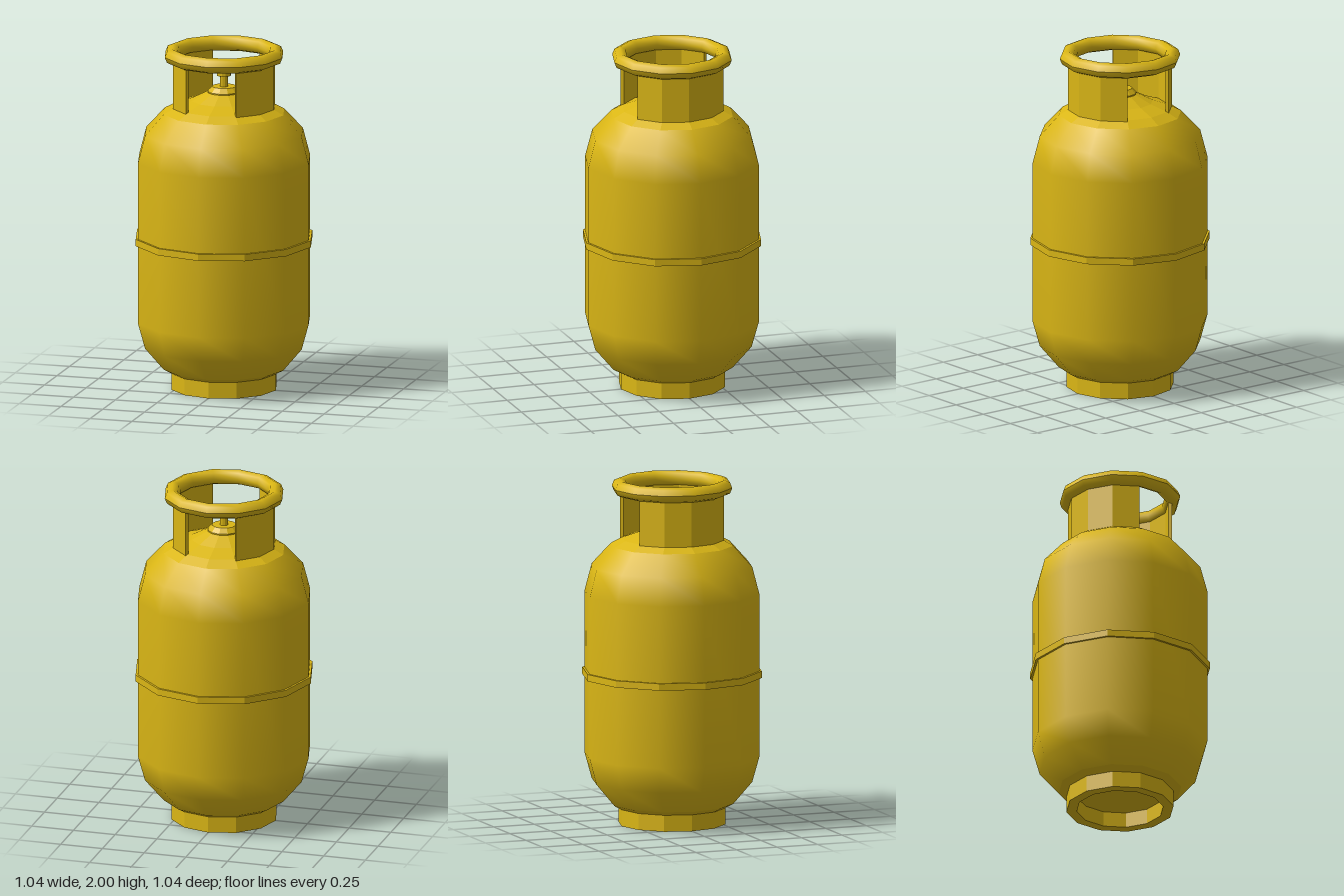
import * as THREE from 'three';

const SIDES = 12;
const smooth = new THREE.MeshStandardMaterial({ color: 0xdab615 });
const faceted = new THREE.MeshStandardMaterial({ color: 0xdab615, flatShading: true });

// Turned part from [radius, y] pairs running up the outside
function turned(name, profile, material) {
  const points = profile.map(([r, y]) => new THREE.Vector2(r, y));
  const mesh = new THREE.Mesh(new THREE.LatheGeometry(points, SIDES), material);
  mesh.name = name;
  return mesh;
}

// Closed band of rectangular section
function band(name, inner, outer, y0, y1) {
  return turned(name, [[outer, y0], [outer, y1], [inner, y1], [inner, y0], [outer, y0]], faceted);
}

// Curved plate covering 120 degrees around the +x or -x side
function collarPlate(name, side) {
  const outer = [], inner = [];
  for (let i = -2; i <= 2; i++) {
    const a = (i * Math.PI) / 6 + (side < 0 ? Math.PI : 0);
    outer.push(new THREE.Vector2(0.3 * Math.cos(a), 0.3 * Math.sin(a)));
    inner.unshift(new THREE.Vector2(0.28 * Math.cos(a), 0.28 * Math.sin(a)));
  }
  const geometry = new THREE.ExtrudeGeometry(new THREE.Shape([...outer, ...inner]), {
    depth: 0.29, bevelEnabled: false,
  });
  geometry.rotateX(-Math.PI / 2).translate(0, 1.65, 0);
  const mesh = new THREE.Mesh(geometry, faceted);
  mesh.name = name;
  return mesh;
}

export function createModel() {
  const group = new THREE.Group();
  group.name = 'gasCylinder';

  // Tank shell with rounded shoulders, closed by faceted ends
  group.add(turned('tankShell', [
    [0.355, 0.12], [0.465, 0.25], [0.507, 0.4], [0.507, 1.34], [0.465, 1.5], [0.355, 1.62],
  ], smooth));
  group.add(turned('tankBottom', [[0, 0.09], [0.3, 0.09], [0.355, 0.12]], faceted));
  group.add(turned('tankTop', [[0.355, 1.62], [0.29, 1.655], [0.19, 1.69], [0.1, 1.735], [0, 1.735]], faceted));

  // Weld band and foot ring
  group.add(band('weldBand', 0.5, 0.52, 0.855, 0.895));
  group.add(band('footRing', 0.25, 0.31, 0, 0.1));

  // Valve: sloped base, stem and knob
  group.add(turned('valve', [
    [0.095, 1.73], [0.095, 1.742], [0.07, 1.77], [0.025, 1.77],
    [0.025, 1.828], [0.04, 1.832], [0.04, 1.855], [0, 1.855],
  ], faceted));

  // Guard collar, open at the front and back
  group.add(collarPlate('leftCollarPlate', 1));
  group.add(collarPlate('rightCollarPlate', -1));

  // Rounded handle ring
  const section = [];
  for (let i = 0; i <= 8; i++) {
    const a = (i * Math.PI) / 4;
    section.push([0.304 + 0.045 * Math.cos(a), 1.955 + 0.045 * Math.sin(a)]);
  }
  group.add(turned('handleRing', section, smooth));

  return group;
}
